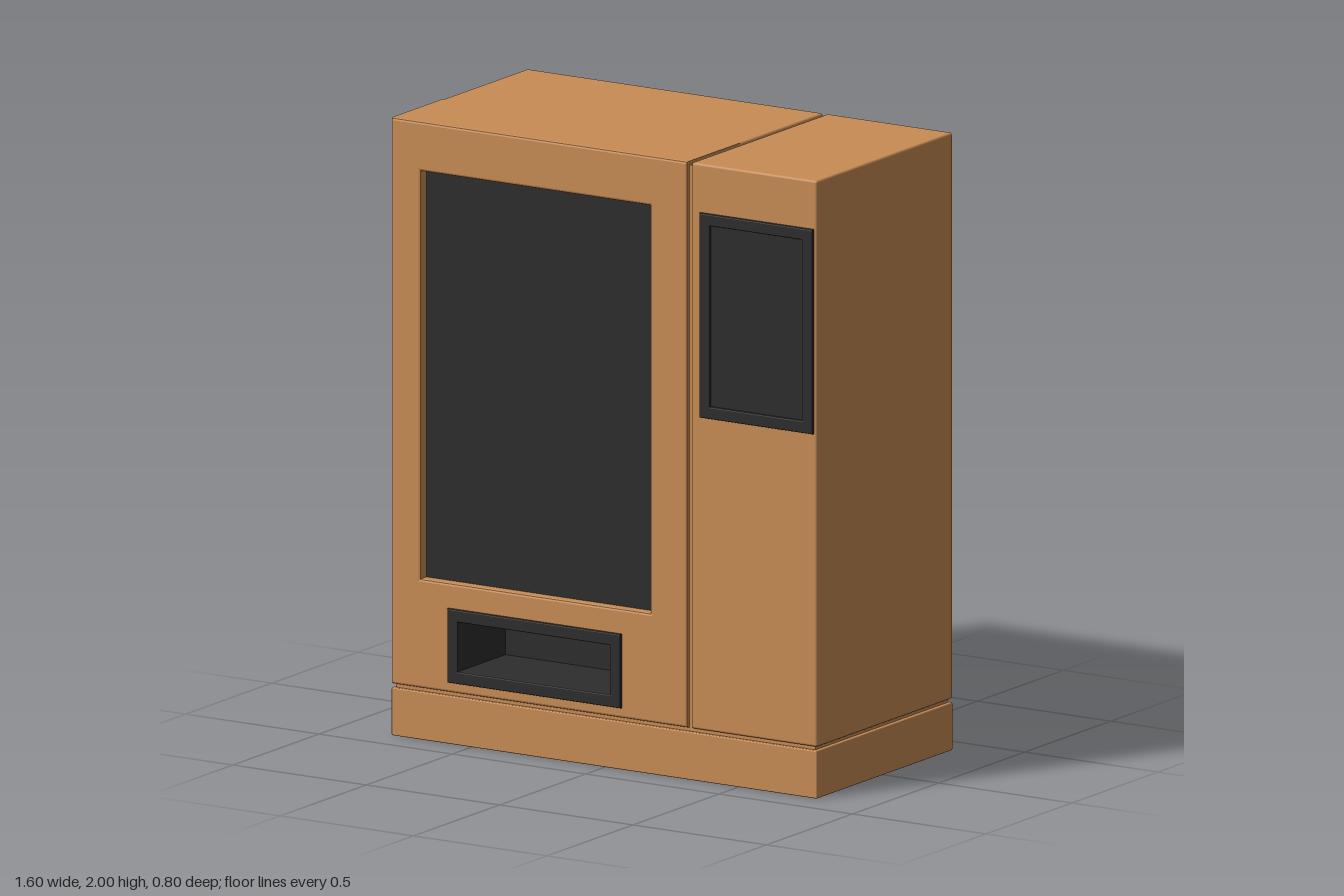
import * as THREE from 'three';
import { RoundedBoxGeometry } from 'three/addons/geometries/RoundedBoxGeometry.js';

const casing = new THREE.MeshStandardMaterial({ color: 0xc88c55 });
casing.name = 'casing';
const dark = new THREE.MeshStandardMaterial({ color: 0x2d2d2d });
dark.name = 'dark trim';

// Box from min/max limits, with softened edges when r > 0
function box(name, mat, [x0, x1], [y0, y1], [z0, z1], r = 0) {
  const w = x1 - x0, h = y1 - y0, d = z1 - z0;
  const geo = r ? new RoundedBoxGeometry(w, h, d, 2, r) : new THREE.BoxGeometry(w, h, d);
  const mesh = new THREE.Mesh(geo, mat);
  mesh.position.set((x0 + x1) / 2, (y0 + y1) / 2, (z0 + z1) / 2);
  mesh.name = name;
  return mesh;
}

function trace(path, [x0, x1], [y0, y1]) {
  path.moveTo(x0, y0);
  path.lineTo(x1, y0);
  path.lineTo(x1, y1);
  path.lineTo(x0, y1);
  path.closePath();
  return path;
}

// Rectangular slab with rectangular openings and bevelled rims
function slab(name, mat, xs, ys, [z0, z1], holes, bevel) {
  const shape = trace(new THREE.Shape(), xs, ys);
  for (const [hx, hy] of holes) shape.holes.push(trace(new THREE.Path(), hx, hy));
  const geo = new THREE.ExtrudeGeometry(shape, {
    depth: z1 - z0 - 2 * bevel, bevelEnabled: true, bevelSize: bevel,
    bevelThickness: bevel, bevelOffset: -bevel, bevelSegments: 2,
  });
  geo.translate(0, 0, z0 + bevel);
  const mesh = new THREE.Mesh(geo, mat);
  mesh.name = name;
  return mesh;
}

export function createModel() {
  const model = new THREE.Group();
  model.name = 'vendingMachine';
  const depth = [-0.4, 0.39];

  // Base, and the recessed core seen inside the seams
  model.add(
    box('base', casing, [-0.8, 0.795], [0, 0.155], depth, 0.004),
    box('baseSeamCore', casing, [-0.788, 0.783], [0.14, 0.18], [-0.388, 0.378]),
    box('doorSeamCore', casing, [0.3, 0.335], [0.16, 1.988], [-0.388, 0.378]),
  );

  // Main cabinet: solid rear and a front shell with two openings
  const windowX = [-0.69, 0.17], windowY = [0.52, 1.84];
  const trayX = [-0.545, 0.025], trayY = [0.24, 0.4];
  model.add(
    box('cabinetRear', casing, [-0.8, 0.31], [0.167, 2], [-0.4, 0.11], 0.008),
    slab('cabinetFront', casing, [-0.8, 0.31], [0.167, 2], [0.08, 0.39],
      [[windowX, windowY], [[-0.57, 0.05], [0.215, 0.425]]], 0.008),
    box('displayWindow', dark, windowX, windowY, [0.345, 0.355]),
  );

  // Control cabinet
  model.add(box('controlCabinet', casing, [0.325, 0.795], [0.167, 2], depth, 0.008));

  // Collection tray: frame and hollow lining
  const trayZ = [0.112, 0.385], t = 0.012;
  const tray = new THREE.Group();
  tray.name = 'collectionTray';
  tray.add(
    slab('trayFrame', dark, [-0.585, 0.065], [0.2, 0.44], [0.37, 0.4], [[trayX, trayY]], 0.004),
    box('trayBack', dark, [trayX[0] - t, trayX[1] + t], [trayY[0] - t, trayY[1] + t], [0.112, 0.12]),
    box('trayFloor', dark, trayX, [trayY[0] - t, trayY[0]], trayZ),
    box('trayCeiling', dark, trayX, [trayY[1], trayY[1] + t], trayZ),
    box('traySideRight', dark, [trayX[0] - t, trayX[0]], [trayY[0] - t, trayY[1] + t], trayZ),
    box('traySideLeft', dark, [trayX[1], trayX[1] + t], [trayY[0] - t, trayY[1] + t], trayZ),
  );
  model.add(tray);

  // Control screen: raised frame around a shallow panel
  const screenX = [0.4, 0.745], screenY = [1.22, 1.805];
  model.add(
    slab('screenFrame', dark, [0.36, 0.785], [1.18, 1.843], [0.38, 0.4], [[screenX, screenY]], 0.004),
    box('screen', dark, [0.39, 0.755], [1.21, 1.815], [0.384, 0.392]),
  );
  return model;
}
